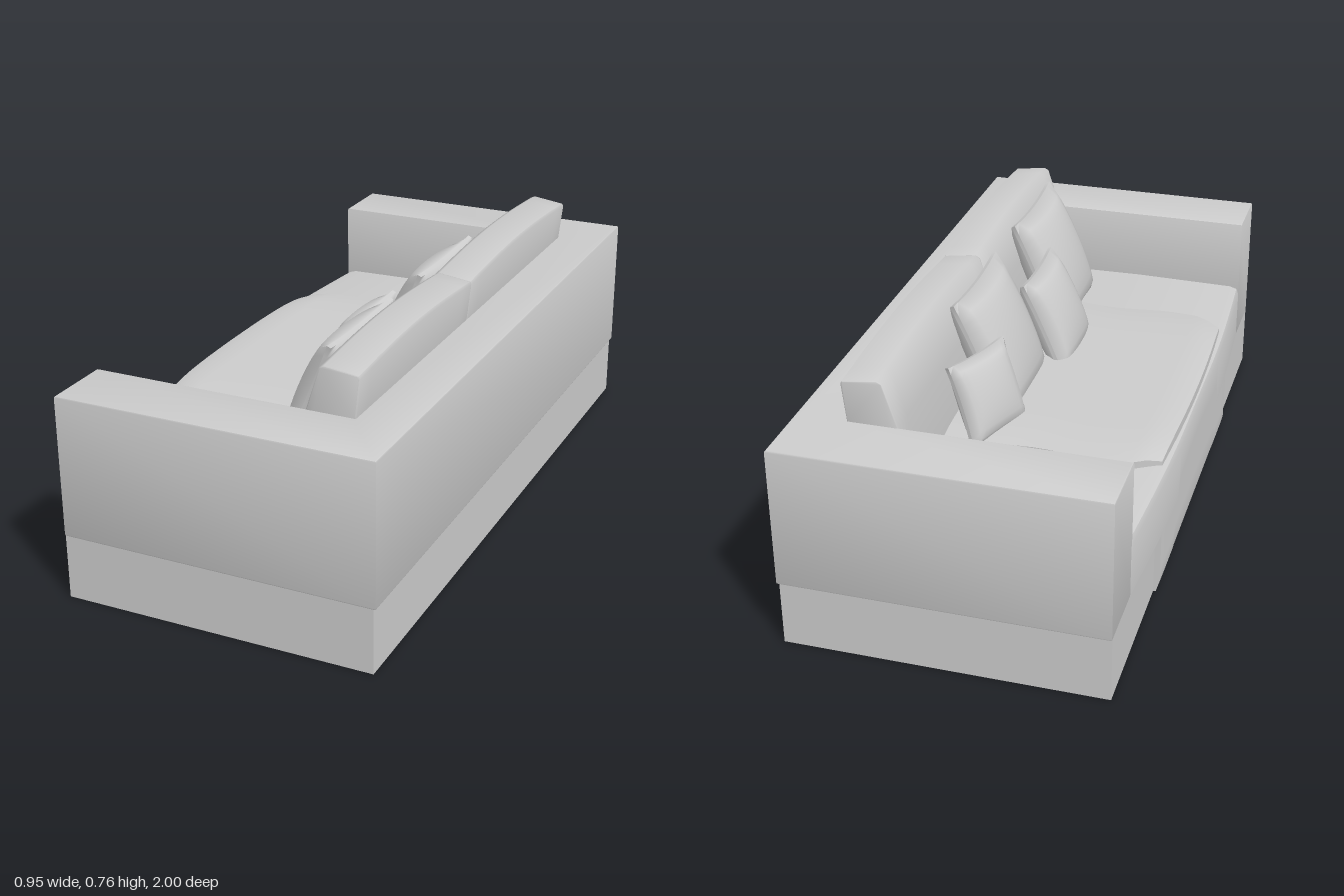
import * as THREE from 'three';
import { toCreasedNormals } from 'three/addons/utils/BufferGeometryUtils.js';

const material = new THREE.MeshStandardMaterial({ color: 0xcccccc });
const openMaterial = new THREE.MeshStandardMaterial({ color: 0xcccccc, side: THREE.DoubleSide });

function add(parent, name, geometry, crease = 0.6, mat = material) {
  const mesh = new THREE.Mesh(toCreasedNormals(geometry, crease), mat);
  mesh.name = name;
  parent.add(mesh);
  return mesh;
}

// Moves every vertex of a geometry by a rule
function deform(geometry, rule) {
  const pos = geometry.attributes.position;
  const p = new THREE.Vector3();
  for (let i = 0; i < pos.count; i++) {
    p.fromBufferAttribute(pos, i);
    rule(p);
    pos.setXYZ(i, p.x, p.y, p.z);
  }
  geometry.computeVertexNormals();
  return geometry;
}

// Drops the downward faces, leaving a hollow upholstery shell
function openBottom(geometry) {
  const src = geometry.attributes.position;
  const tri = new THREE.Triangle();
  const n = new THREE.Vector3();
  const kept = [];
  for (let i = 0; i < src.count; i += 3) {
    tri.setFromAttributeAndIndices(src, i, i + 1, i + 2);
    tri.getNormal(n);
    if (n.y > -0.9) kept.push(...tri.a.toArray(), ...tri.b.toArray(), ...tri.c.toArray());
  }
  const out = new THREE.BufferGeometry();
  out.setAttribute('position', new THREE.Float32BufferAttribute(kept, 3));
  out.computeVertexNormals();
  return out;
}

function polygon(points) {
  return new THREE.Shape(points.map(([x, y]) => new THREE.Vector2(x, y)));
}

// Forward swell of the seat front towards the middle
function swell(z) {
  const t = Math.max(0, 1 - Math.abs(z) / 0.8);
  return 0.026 * Math.sin(Math.min(1, t * 1.3) * Math.PI / 2);
}

// Lower hem of the seat front, stepping up over the middle
function hem(z) {
  return Math.abs(z) < 0.3 ? 0.25 + 0.03 * Math.cos(z / 0.3 * Math.PI / 2) : 0.195;
}

// Square pillow, pinched at the edges
function addPillow(parent, name, size, thickness, position, lean, yaw = 0) {
  const geo = deform(new THREE.BoxGeometry(2, 2, 2, 12, 12, 1), (p) => {
    const { x: u, y: v, z: s } = p;
    const puff = Math.pow(Math.max(0, (1 - u * u) * (1 - v * v)), 0.4);
    p.x = u * (1 - 0.06 * (1 - v * v)) * size / 2;
    p.y = v * (1 - 0.06 * (1 - u * u)) * size / 2;
    p.z = s * (0.006 + puff * thickness / 2);
  });
  const mesh = add(parent, name, geo, 1.2);
  mesh.rotation.set(-lean, -Math.PI / 2 + yaw, 0, 'YXZ');
  mesh.position.set(...position);
}

export function createModel() {
  const sofa = new THREE.Group();
  sofa.name = 'sofa';

  // Arms and back: one U-shaped hollow shell
  const plan = polygon([[-0.445, -0.995], [0.47, -0.995], [0.47, 0.995], [-0.445, 0.995],
    [-0.445, 0.8], [0.32, 0.8], [0.32, -0.8], [-0.445, -0.8]]);
  const shell = new THREE.ExtrudeGeometry(plan, {
    depth: 0.405, bevelEnabled: true, bevelThickness: 0.005, bevelSize: 0.005, bevelSegments: 2,
  });
  shell.rotateX(Math.PI / 2);
  shell.translate(0, 0.6, 0);
  add(sofa, 'armsAndBack', openBottom(shell), 0.6, openMaterial);

  // Plinth: thin panels standing on the floor, open underneath
  const plinth = new THREE.Group();
  plinth.name = 'plinth';
  sofa.add(plinth);
  function panel(name, w, h, d, x, z) {
    const geo = new THREE.BoxGeometry(w, h, d);
    geo.translate(x, h / 2, z);
    add(plinth, name, geo);
  }
  panel('plinthBack', 0.012, 0.195, 1.99, 0.462, 0);
  for (const s of [-1, 1]) {
    panel('plinthSide', 0.918, 0.195, 0.012, 0.009, s * 0.991);
    panel('plinthFront', 0.012, 0.195, 0.51, -0.444, s * 0.742);
    panel('crossPanel', 0.9, 0.31, 0.012, 0.01, s * 0.487);
  }

  // Middle front panel, bowed forward, its top following the hem
  const middle = new THREE.BoxGeometry(1, 1, 0.99, 1, 5, 40);
  add(plinth, 'plinthMiddle', deform(middle, (p) => {
    const v = p.y + 0.5;
    const bow = Math.min(0.02, swell(p.z)) * Math.min(1, 0.4 + v * 4);
    p.x = p.x > 0 ? -0.438 : -0.45 - bow;
    p.y = v * (hem(p.z) + 0.01);
  }), 0.9);

  // Seat: a sheet running from the back over the front edge
  const seat = new THREE.PlaneGeometry(1, 1, 80, 5);
  add(sofa, 'seat', deform(seat, (p) => {
    const z = p.x * 1.6;
    const row = Math.round((0.5 - p.y) * 5);
    const front = -0.45 - swell(z);
    const lift = 0.012 * Math.cos(z / 0.8 * Math.PI / 2);
    const x = [0.325, -0.1, front + 0.03, front + 0.007, front, front][row];
    const y = [0.375, 0.38 + lift, 0.375 + lift, 0.368 + lift, 0.35 + lift, hem(z)][row];
    p.set(x, y, z);
  }), 0.9, openMaterial);

  // Blanket spread over the middle of the seat, with wavy sides
  const blanket = new THREE.BoxGeometry(0.65, 1, 2, 16, 1, 20);
  add(sofa, 'blanket', deform(blanket, (p) => {
    const t = p.z;
    const x = p.x - 0.125;
    const corner = Math.max(0, -0.37 - x) * 0.5;
    const half = 0.478 + 0.008 * Math.sin(x * 17) - corner;
    const edge = Math.pow(Math.abs(t), 6);
    const nose = Math.max(0, -0.41 - x) * 0.25;
    p.z = t * half;
    p.y = p.y > 0 ? 0.418 - 0.014 * edge - nose : 0.372;
    p.x = x - 0.014 * (1 - t * t) * (x < -0.4 ? 1 : 0);
  }));

  // Two leaning back cushions with a gently crowned top
  const side = polygon([[0.176, 0.385], [0.323, 0.385], [0.325, 0.605], [0.337, 0.715],
    [0.334, 0.721], [0.24, 0.734], [0.228, 0.728], [0.188, 0.605]]);
  for (const [z0, z1] of [[-0.8, 0.035], [0.035, 0.8]]) {
    const depth = z1 - z0 - 0.008;
    const geo = new THREE.ExtrudeGeometry(side, {
      depth, steps: 12, bevelEnabled: true, bevelThickness: 0.004, bevelSize: 0.003, bevelSegments: 2,
    });
    add(sofa, 'backCushion', deform(geo, (p) => {
      if (p.y > 0.65) p.y += 0.019 * Math.sin(Math.PI * THREE.MathUtils.clamp(p.z / depth, 0, 1));
      p.z += z0 + 0.004;
    }), 0.9);
  }

  // Scatter pillows
  addPillow(sofa, 'largePillow', 0.4, 0.13, [0.117, 0.55, -0.12], 0.4);
  addPillow(sofa, 'largePillow', 0.4, 0.13, [0.117, 0.55, 0.48], 0.4);
  addPillow(sofa, 'smallPillow', 0.31, 0.11, [0.028, 0.512, 0.18], 0.42);
  addPillow(sofa, 'smallPillow', 0.25, 0.08, [0.075, 0.505, -0.375], 0.36, -0.36);

  return sofa;
}
